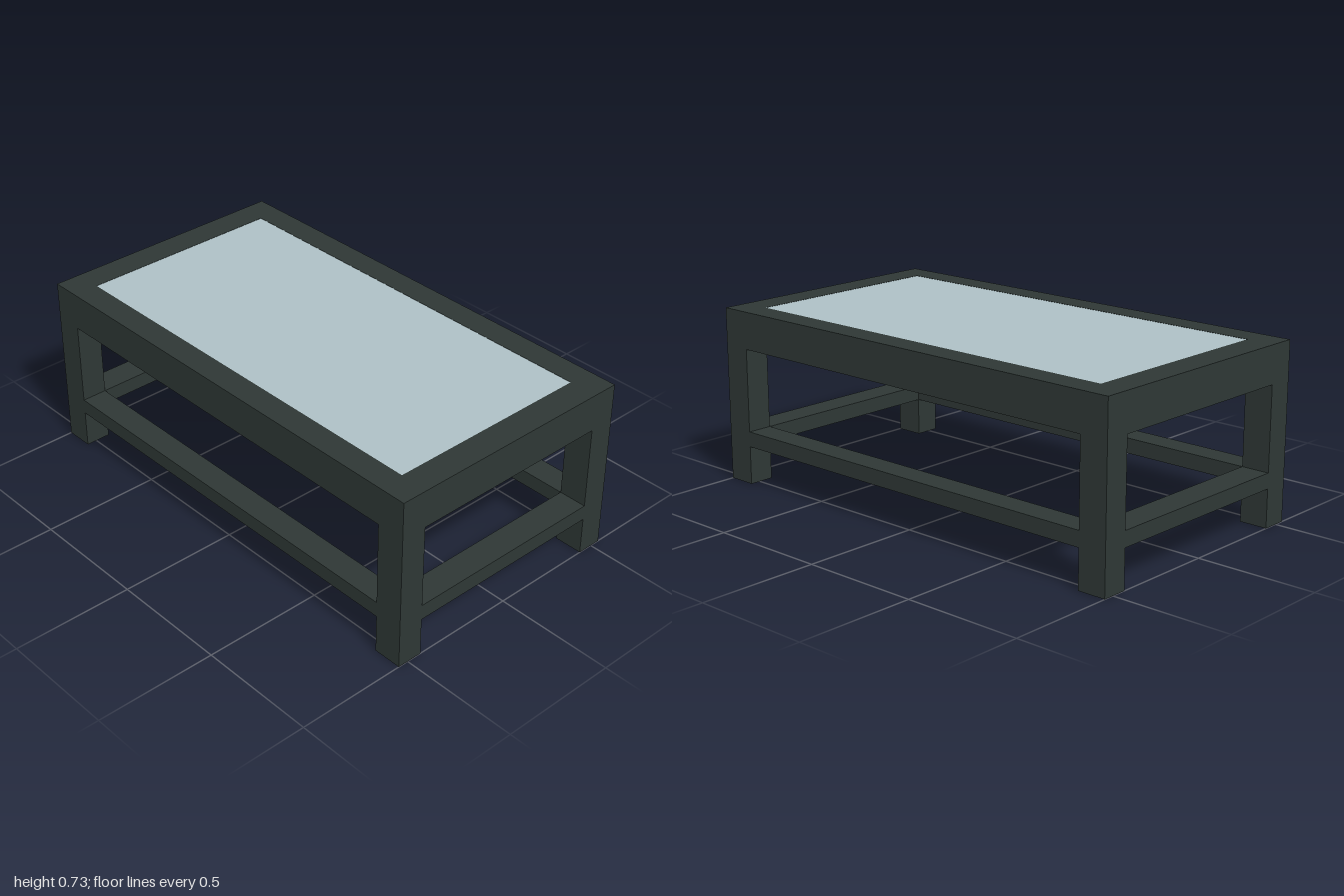
import * as THREE from 'three';

const HALF_X = 1, HALF_Z = 0.544, HEIGHT = 0.728;
const LEG_X = 0.12, LEG_Z = 0.108; // leg section, shared by all rails
const INNER_X = HALF_X - LEG_X, INNER_Z = HALF_Z - LEG_Z;

export function createModel() {
  const frame = new THREE.MeshStandardMaterial({ color: 0x2e3735 });
  frame.name = 'dark frame';
  const glass = new THREE.MeshStandardMaterial({ color: 0xadc0c5 });
  glass.name = 'pale glass';

  const table = new THREE.Group();
  table.name = 'coffeeTable';

  // Box given by its x, y and z extents
  const addBox = (name, material, [x0, x1], [y0, y1], [z0, z1]) => {
    const mesh = new THREE.Mesh(new THREE.BoxGeometry(x1 - x0, y1 - y0, z1 - z0), material);
    mesh.position.set((x0 + x1) / 2, (y0 + y1) / 2, (z0 + z1) / 2);
    mesh.name = name;
    table.add(mesh);
  };
  const span = (side, inner, outer) => (side > 0 ? [inner, outer] : [-outer, -inner]);

  // Four square legs
  for (const sx of [-1, 1]) {
    for (const sz of [-1, 1]) {
      const name = (sz > 0 ? 'front' : 'back') + (sx > 0 ? 'Left' : 'Right') + 'Leg';
      addBox(name, frame, span(sx, INNER_X, HALF_X), [0, HEIGHT], span(sz, INNER_Z, HALF_Z));
    }
  }

  // Deep top aprons and slim lower stretchers, flush with the legs
  const rails = [['Apron', [0.572, HEIGHT]], ['Stretcher', [0.16, 0.224]]];
  for (const [part, heights] of rails) {
    for (const side of [-1, 1]) {
      addBox((side > 0 ? 'front' : 'back') + part, frame,
        [-INNER_X, INNER_X], heights, span(side, INNER_Z, HALF_Z));
      addBox((side > 0 ? 'left' : 'right') + part, frame,
        span(side, INNER_X, HALF_X), heights, [-INNER_Z, INNER_Z]);
    }
  }

  // Glass panel set into the top frame
  addBox('glassTop', glass, [-INNER_X, INNER_X], [HEIGHT - 0.012, HEIGHT - 0.001], [-INNER_Z, INNER_Z]);

  return table;
}
